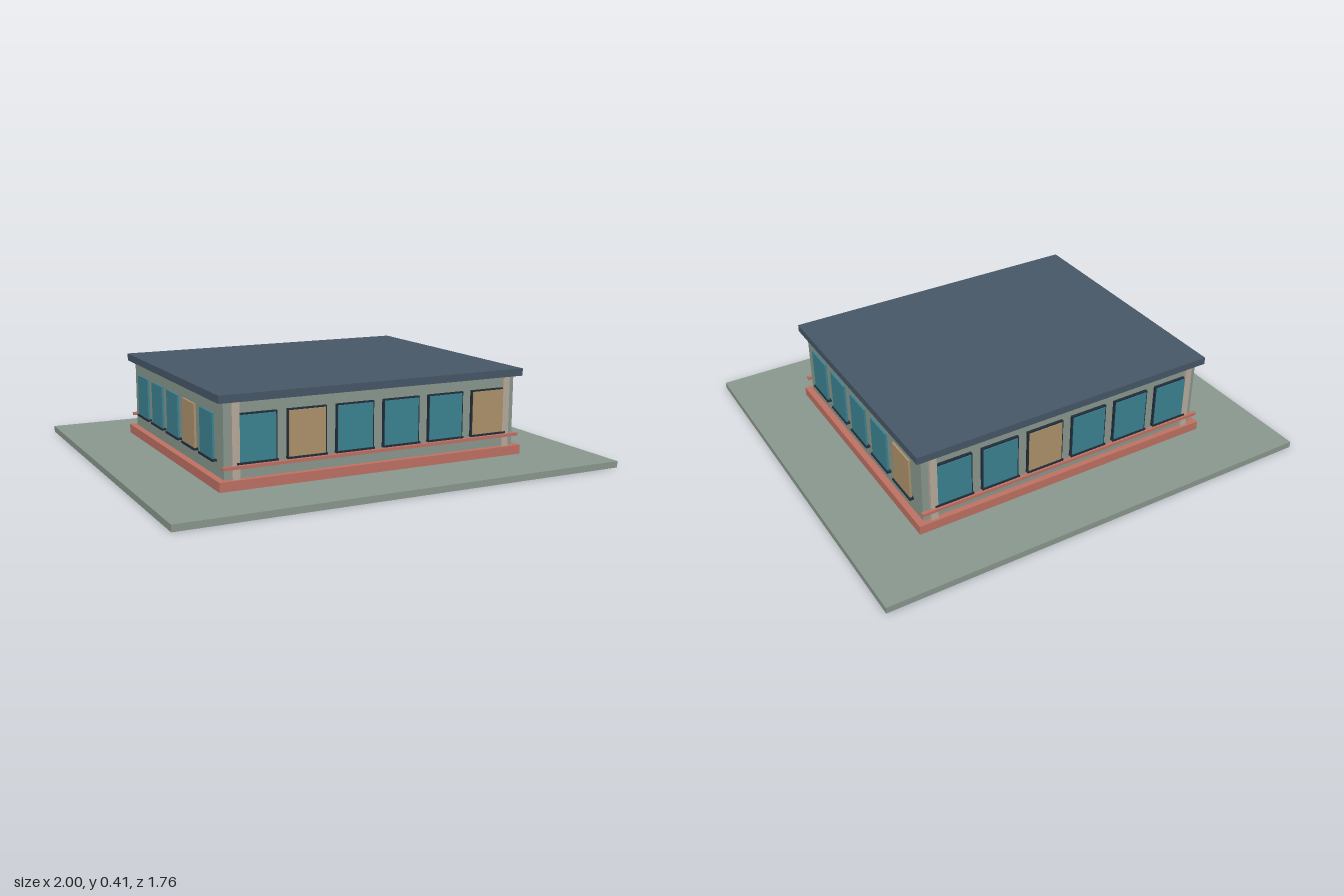
import * as THREE from 'three';

const mat = (name, color) => {
  const m = new THREE.MeshStandardMaterial({ color });
  m.name = name;
  return m;
};

export function createModel() {
  const sage = mat('sage', 0x8a998f);
  const slate = mat('slate', 0x475868);
  const brick = mat('brick', 0xc07264);
  const stone = mat('stone', 0xb9ac9d);
  const teal = mat('teal glass', 0x3c8494);
  const amber = mat('amber glass', 0xb0946c);
  const dark = mat('dark frame', 0x222e3b);

  const model = new THREE.Group();
  model.name = 'pavilion';

  // Box given by its size and centre
  const box = (parent, name, material, [w, h, d], [x, y, z]) => {
    const mesh = new THREE.Mesh(new THREE.BoxGeometry(w, h, d), material);
    mesh.name = name;
    mesh.position.set(x, y, z);
    parent.add(mesh);
  };

  // Main slabs, bottom to top
  box(model, 'ground', sage, [2, 0.028, 1.76], [0, 0.014, 0]);
  box(model, 'plinth', brick, [1.41, 0.04, 1.172], [0, 0.048, 0]);
  box(model, 'walls', sage, [1.352, 0.309, 1.12], [0, 0.2225, 0]);
  box(model, 'roof', slate, [1.41, 0.032, 1.174], [0, 0.392, 0]);

  // One face of the building, built facing +z and then turned
  const addFace = (name, angle, distance, count, pitch, width, litWindows, framed) => {
    const face = new THREE.Group();
    face.name = name;
    face.rotation.y = angle;
    model.add(face);
    for (let i = 0; i < count; i++) {
      const x = (i - (count - 1) / 2) * pitch;
      const glass = litWindows.includes(i) ? amber : teal;
      const height = framed ? 0.188 : 0.184;
      if (framed) box(face, 'windowFrame', dark, [width + 0.012, 0.2, 0.012], [x, 0.228, distance + 0.006]);
      box(face, 'windowGlass', glass, [width, height, 0.009], [x, 0.228, distance + 0.0105]);
      box(face, 'windowSill', dark, [width + 0.016, 0.008, 0.02], [x, 0.131, distance + 0.01]);
    }
    return face;
  };

  // Long faces carry corner posts and a rail
  const front = addFace('frontFace', 0, 0.56, 6, 0.216, 0.16, [1, 5], true);
  const back = addFace('backFace', Math.PI, 0.56, 6, 0.216, 0.16, [2], true);
  for (const face of [front, back]) {
    for (const side of [-1, 1]) {
      box(face, 'cornerPost', stone, [0.032, 0.308, 0.016], [side * 0.63, 0.222, 0.568]);
    }
    box(face, 'rail', brick, [1.38, 0.013, 0.016], [0, 0.118, 0.579]);
  }

  // Short faces
  addFace('leftFace', Math.PI / 2, 0.676, 5, 0.204, 0.142, [4], false);
  addFace('rightFace', -Math.PI / 2, 0.676, 5, 0.204, 0.142, [3], false);

  return model;
}
